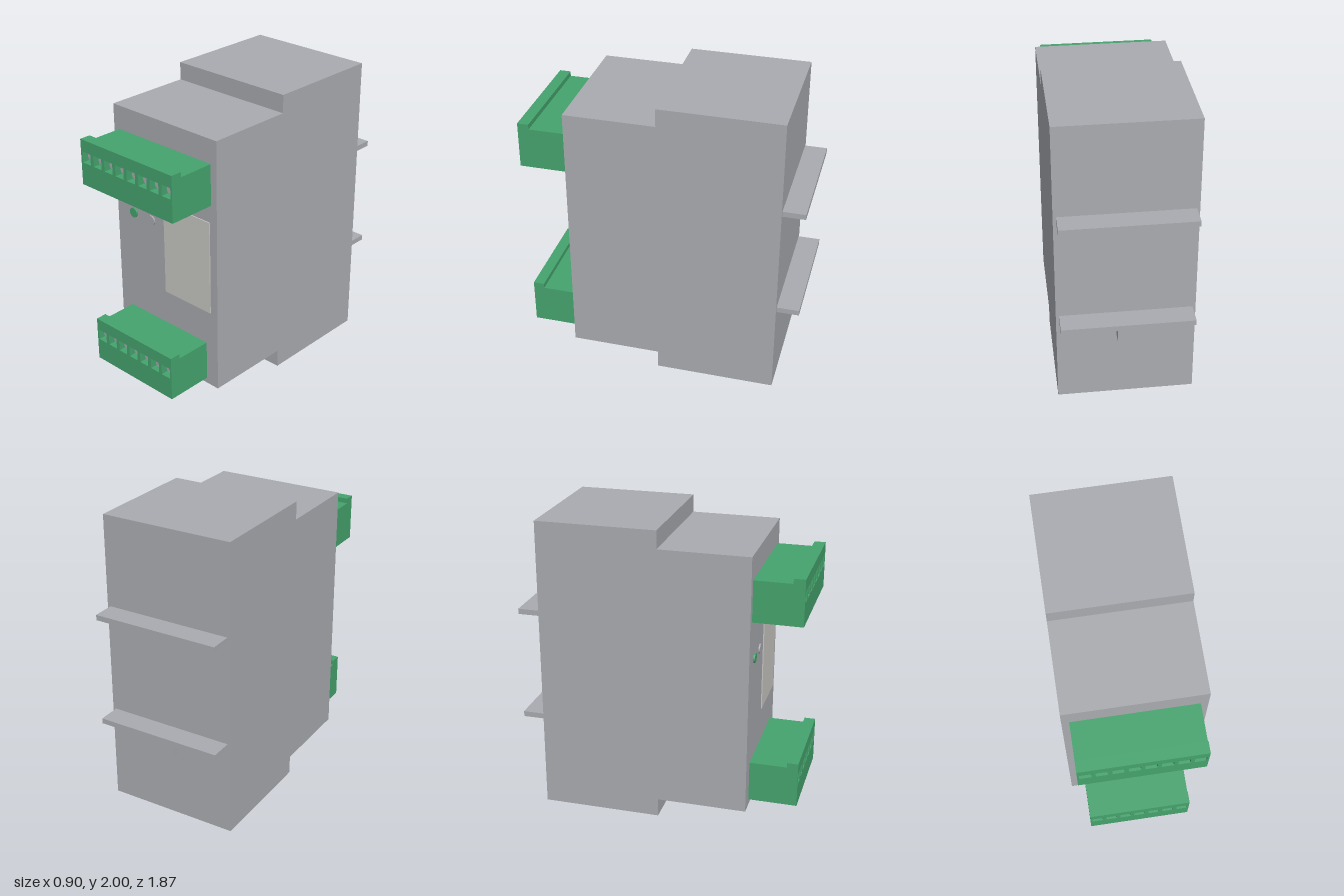
import * as THREE from 'three';

const grey = new THREE.MeshStandardMaterial({ name: 'housing grey', color: 0xa9abb0 });
const green = new THREE.MeshStandardMaterial({ name: 'terminal green', color: 0x45a36d });
const cream = new THREE.MeshStandardMaterial({ name: 'label cream', color: 0xc9c8c3 });

const FACE = 0.612; // z of the front face
const BACK = -0.787; // z of the rear face
const HOLE = 0.074; // side of a terminal opening

function add(parent, name, geometry, material) {
  const mesh = new THREE.Mesh(geometry, material);
  mesh.name = name;
  parent.add(mesh);
  return mesh;
}

// box given by its limits on each axis
function box(parent, name, [x0, x1], [y0, y1], [z0, z1], material) {
  const mesh = add(parent, name, new THREE.BoxGeometry(x1 - x0, y1 - y0, z1 - z0), material);
  mesh.position.set((x0 + x1) / 2, (y0 + y1) / 2, (z0 + z1) / 2);
  return mesh;
}

const rect = (x0, x1, y0, y1, Type = THREE.Shape) =>
  new Type([[x0, y0], [x1, y0], [x1, y1], [x0, y1]].map(p => new THREE.Vector2(...p)));

// plate with a row of square openings, extruded along +z
function piercedPlate(x0, x1, y0, y1, depth, centres, holeY) {
  const shape = rect(x0, x1, y0, y1);
  const h = HOLE / 2;
  for (const x of centres) shape.holes.push(rect(x - h, x + h, holeY - h, holeY + h, THREE.Path));
  return new THREE.ExtrudeGeometry(shape, { depth, bevelEnabled: false });
}

// flat disc standing on the front face
function disc(parent, name, x, y, z0, z1, r, sides, material) {
  const mesh = add(parent, name, new THREE.CylinderGeometry(r, r, z1 - z0, sides), material);
  mesh.rotation.x = Math.PI / 2;
  mesh.position.set(x, y, (z0 + z1) / 2);
}

function terminalBlock(name, count, y) {
  const block = new THREE.Group();
  block.name = name;
  block.position.y = y;
  const w = count * 0.05, front = 0.935, inner = 0.885, floor = 0.05;
  const centres = Array.from({ length: count }, (_, i) => (i - (count - 1) / 2) * 0.1);

  // front wall with screw openings
  add(block, 'screwFace', piercedPlate(-w, w, 0, 0.308, front - inner, centres, 0.19), green)
    .position.z = inner;
  // underside with wire openings
  const under = piercedPlate(-w, w, FACE, inner, floor, centres, 0.81);
  under.rotateX(Math.PI / 2).translate(0, floor, 0);
  add(block, 'wireFace', under, green);
  // solid core and top lip
  box(block, 'core', [-w, w], [floor, 0.275], [FACE, inner], green);
  box(block, 'lip', [-w, w], [0.275, 0.308], [0.86, inner], green);
  for (const x of centres) disc(block, 'screw', x, 0.19, inner, 0.9, 0.03, 8, grey);
  return block;
}

export function createModel() {
  const model = new THREE.Group();
  model.name = 'railModule';

  // stepped housing, side profile extruded across the width
  const profile = new THREE.Shape([
    [BACK, 0], [0.013, 0], [0.013, 0.125], [FACE, 0.125],
    [FACE, 1.88], [0.013, 1.88], [0.013, 2], [BACK, 2],
  ].map(p => new THREE.Vector2(...p)));
  const width = 0.896;
  const housing = new THREE.ExtrudeGeometry(profile, { depth: width, bevelEnabled: false });
  housing.translate(0, 0, -width / 2).rotateY(-Math.PI / 2);
  add(model, 'housing', housing, grey);

  // plug-in terminals
  model.add(terminalBlock('upperTerminalBlock', 8, 1.444));
  model.add(terminalBlock('lowerTerminalBlock', 7, 0.164));

  // front panel details
  box(model, 'labelPlate', [-0.012, 0.39], [0.68, 1.325], [FACE, FACE + 0.007], cream);
  disc(model, 'indicatorLight', -0.293, 1.163, FACE, FACE + 0.01, 0.033, 24, green);
  disc(model, 'secondIndicator', -0.13, 1.163, FACE, FACE + 0.01, 0.033, 24, grey);

  // rear mounting ledges and clip
  for (const y of [0.615, 1.355]) {
    box(model, 'mountingLedge', [-0.428, 0.428], [y, y + 0.036], [-0.935, BACK], grey);
  }
  box(model, 'clip', [-0.06, 0.06], [0.465, 0.615], [-0.845, BACK], grey);
  return model;
}
